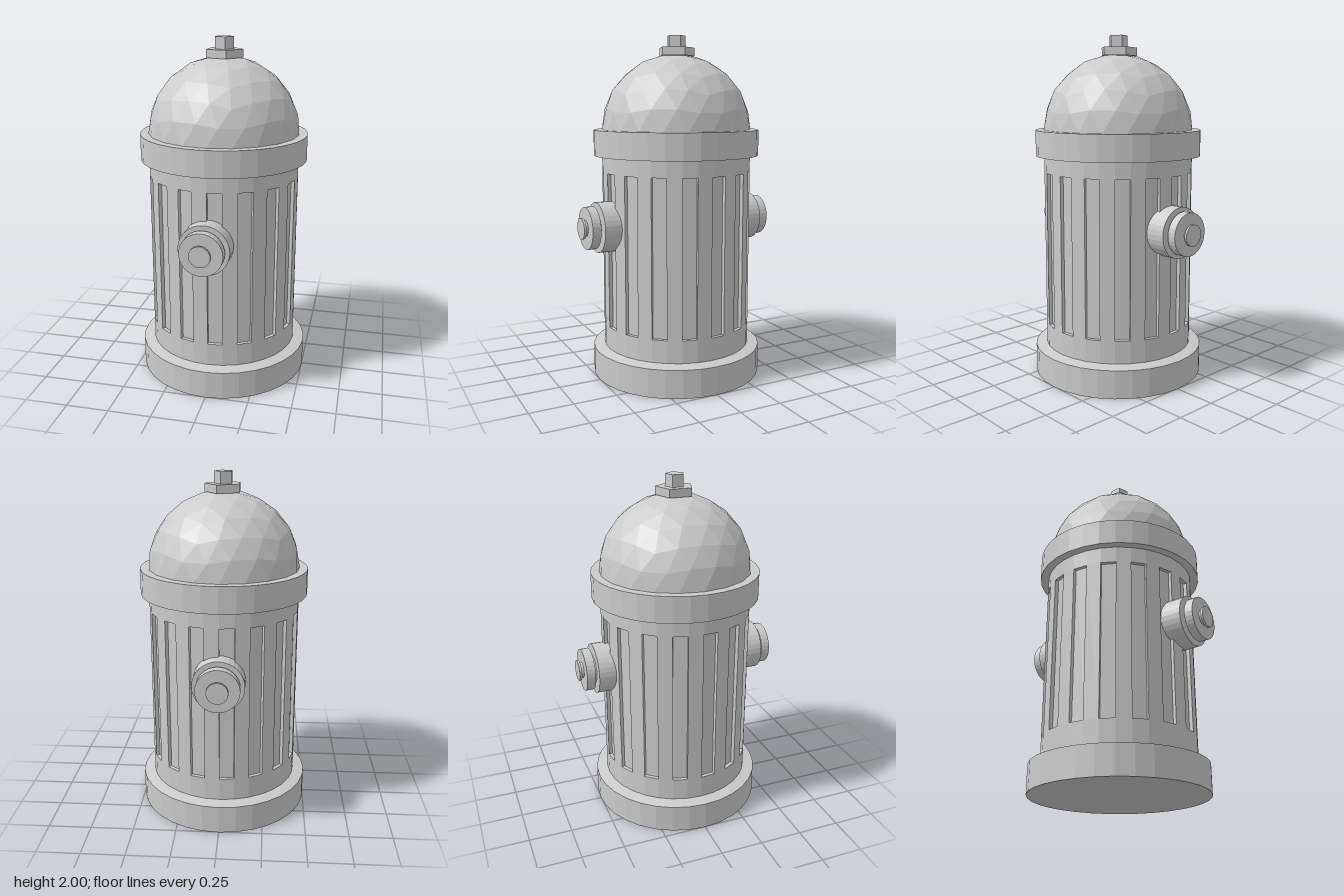
import * as THREE from 'three';

const material = new THREE.MeshStandardMaterial({ color: 0xcccccc, flatShading: true });
const SIDES = 32;
const BODY_R = 0.437;
const DOME_Y = 1.46;

function part(name, geometry, parent) {
  const mesh = new THREE.Mesh(geometry, material);
  mesh.name = name;
  parent.add(mesh);
  return mesh;
}

// Turned solid from [radius, height] pairs, listed bottom to top
function turned(profile) {
  return new THREE.LatheGeometry(profile.map(([r, y]) => new THREE.Vector2(r, y)), SIDES);
}

// Barrel wall with every second facet sunk inwards
function flutedWall(bottom, top, depth) {
  const points = [];
  for (let i = 0; i < SIDES; i += 2) {
    const a = (i / SIDES) * Math.PI * 2;
    const b = ((i + 1) / SIDES) * Math.PI * 2;
    for (const [angle, r] of [[a, BODY_R], [a, BODY_R - depth], [b, BODY_R - depth], [b, BODY_R]]) {
      points.push(new THREE.Vector2(Math.sin(angle) * r, -Math.cos(angle) * r));
    }
  }
  const geometry = new THREE.ExtrudeGeometry(new THREE.Shape(points), {
    depth: top - bottom, bevelEnabled: false,
  });
  return geometry.rotateX(-Math.PI / 2).translate(0, bottom, 0);
}

// Upper half of a twice-subdivided icosahedron standing on one corner
function geodesicDome(radius) {
  const h = 1 / Math.sqrt(5);
  const corners = [0, 1, 0];
  for (const [y, shift] of [[h, 0], [-h, 0.5]]) {
    for (let i = 0; i < 5; i++) {
      const a = ((i + shift) / 5) * Math.PI * 2;
      corners.push(Math.cos(a) * 2 * h, y, Math.sin(a) * 2 * h);
    }
  }
  const faces = [];
  for (let i = 0; i < 5; i++) {
    const upper = 1 + i, upperNext = 1 + (i + 1) % 5;
    const lower = 6 + i, lowerPrev = 6 + (i + 4) % 5;
    faces.push(0, upperNext, upper, upper, upperNext, lower, upper, lower, lowerPrev);
  }
  let sphere = new THREE.PolyhedronGeometry(corners, faces, radius, 1);
  const coarse = Array.from(sphere.attributes.position.array);
  sphere = new THREE.PolyhedronGeometry(coarse, coarse.slice(0, coarse.length / 3).map((_, i) => i), radius, 1);

  const p = sphere.attributes.position.array;
  const kept = [];
  for (let i = 0; i < p.length; i += 9) {
    if (p[i + 1] + p[i + 4] + p[i + 7] > 0.001) kept.push(...p.slice(i, i + 9));
  }
  const dome = new THREE.BufferGeometry();
  dome.setAttribute('position', new THREE.Float32BufferAttribute(kept, 3));
  dome.computeVertexNormals();
  return dome;
}

// Five-sided nut with a corner towards +x
function nut(radius, bottom, top) {
  return new THREE.CylinderGeometry(radius, radius, top - bottom, 5)
    .rotateY(Math.PI / 2).translate(0, (bottom + top) / 2, 0);
}

export function createModel() {
  const hydrant = new THREE.Group();
  hydrant.name = 'hydrant';

  // Foot flange and lower barrel
  part('base', turned([[0, 0], [0.503, 0], [0.503, 0.165], [BODY_R, 0.178], [BODY_R, 0.31], [0, 0.31]]), hydrant);

  // Barrel with vertical grooves, and the plain band above them
  part('flutedBarrel', flutedWall(0.31, 1.215, 0.021), hydrant);
  part('upperBarrel', turned([[0, 1.215], [BODY_R, 1.215], [BODY_R, 1.31]]), hydrant);

  // Collar under the dome
  part('collar', turned([[BODY_R - 0.02, 1.31], [0.485, 1.31], [0.485, DOME_Y], [BODY_R - 0.03, DOME_Y]]), hydrant);

  // Dome and the operating nut
  part('dome', geodesicDome(BODY_R), hydrant).position.y = DOME_Y;
  part('nutFlange', nut(0.11, 1.885, 1.932), hydrant);
  part('nutStem', nut(0.056, 1.932, 2), hydrant);

  // Stepped outlets on the front and back
  const outlet = turned([
    [0.145, 0.39], [0.145, 0.51], [0.085, 0.51], [0.085, 0.525], [0.122, 0.525], [0.122, 0.575],
    [0.047, 0.575], [0.047, 0.59], [0.06, 0.59], [0.06, 0.603], [0, 0.603],
  ]).rotateX(Math.PI / 2);
  for (const [name, turn] of [['frontOutlet', 0], ['backOutlet', Math.PI]]) {
    const mesh = part(name, outlet, hydrant);
    mesh.position.y = 0.912;
    mesh.rotation.y = turn;
  }

  return hydrant;
}
